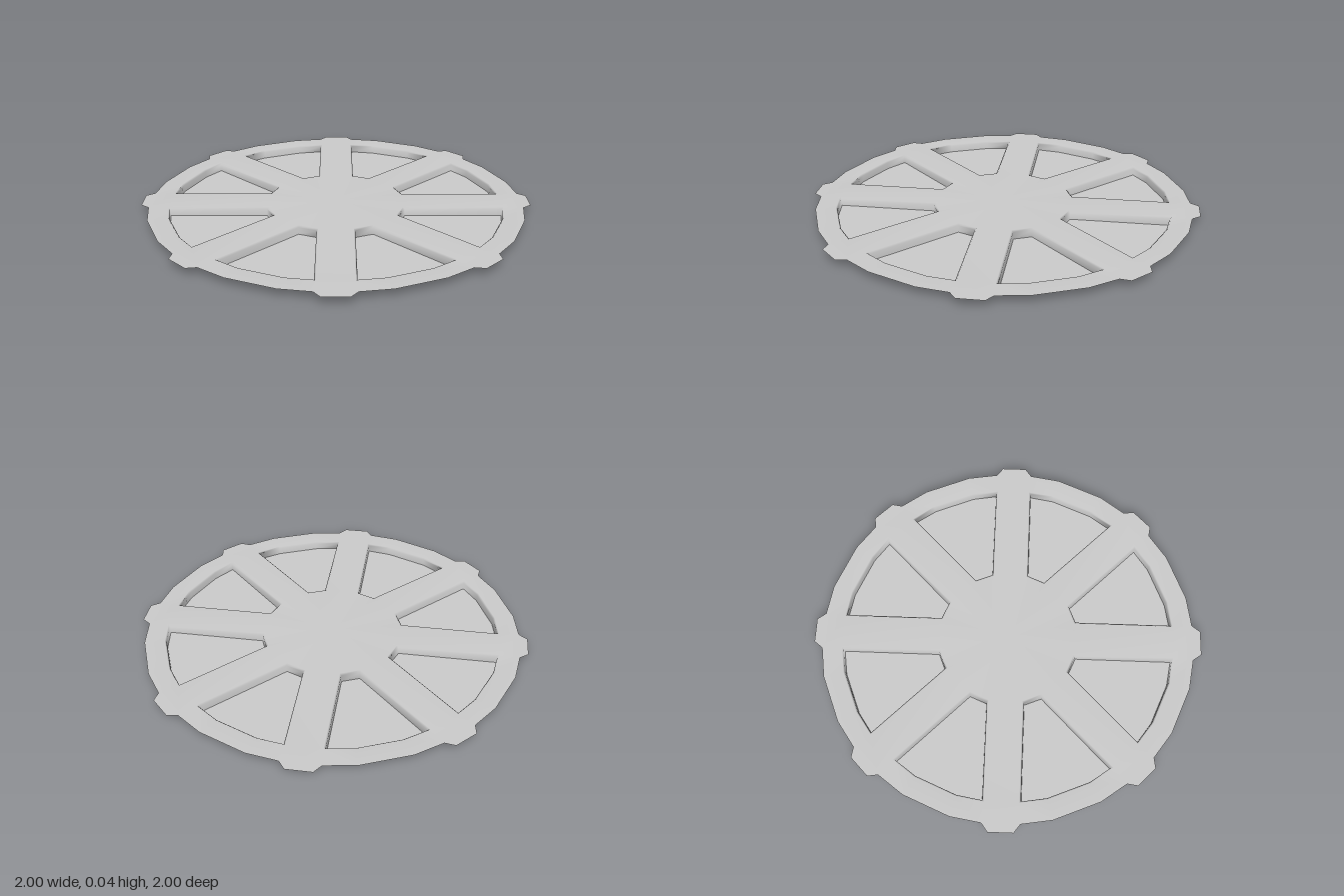
import * as THREE from 'three';
import { mergeVertices } from 'three/addons/utils/BufferGeometryUtils.js';

const COUNT = 8;
const STEP = (Math.PI * 2) / COUNT;
const TOP = 0.043;

// Point given along and across spoke k, at height y
function onSpoke(k, along, side, y) {
  const c = Math.cos(k * STEP), s = Math.sin(k * STEP);
  return [along * c - side * s, y, -(along * s + side * c)];
}

// Point on a circle, as a fraction of the way from spoke k to the next
const onArc = (k, t, r, y) => onSpoke(k + t, r, 0, y);

// Outline of the opening between spokes k and k + 1, shrunk by inset
function opening(k, inset, y) {
  const side = 0.086 + inset, inner = 0.343 + inset, outer = 0.855 - inset;
  return [
    onSpoke(k, inner, side, y),
    onSpoke(k, outer, side, y),
    onArc(k, 1 / 3, 0.863 - inset, y),
    onArc(k, 2 / 3, 0.863 - inset, y),
    onSpoke(k + 1, outer, -side, y),
    onSpoke(k + 1, inner, -side, y),
  ];
}

// Collects convex polygons as triangles
function polygon(out, ...pts) {
  for (let i = 1; i < pts.length - 1; i++) out.push(...pts[0], ...pts[i], ...pts[i + 1]);
}

function toMesh(name, data) {
  let geometry = new THREE.BufferGeometry();
  geometry.setAttribute('position', new THREE.Float32BufferAttribute(data, 3));
  geometry = mergeVertices(geometry, 1e-4);
  geometry.computeVertexNormals();
  const material = new THREE.MeshStandardMaterial({ color: 0xcccccc, side: THREE.DoubleSide });
  const mesh = new THREE.Mesh(geometry, material);
  mesh.name = name;
  return mesh;
}

export function createModel() {
  const group = new THREE.Group();
  group.name = 'spokedWheelCover';
  const frame = [];
  const panels = new THREE.Group();
  panels.name = 'recessedPanels';

  for (let k = 0; k < COUNT; k++) {
    const hole = opening(k, 0, TOP);
    const before = opening(k - 1, 0, TOP);
    const centre = [0, TOP, 0];

    // Hub: one wedge under the spoke, one beside the opening
    polygon(frame, centre, before[5], hole[0]);
    polygon(frame, centre, hole[0], hole[5]);

    // Spoke
    polygon(frame, before[5], before[4], hole[1], hole[0]);

    // Spoke end and outer tab
    const base = [-1, 1].map((s) => onSpoke(k, 0.957, s * 0.095, TOP));
    const tip = [-1, 1].map((s) => onSpoke(k, 1, s * 0.063, TOP));
    polygon(frame, before[4], base[0], base[1], hole[1]);
    polygon(frame, base[0], tip[0], tip[1], base[1]);

    // Rim between two tabs
    const outer = [
      base[1],
      onArc(k, 1 / 3, 0.965, TOP),
      onArc(k, 2 / 3, 0.965, TOP),
      onSpoke(k + 1, 0.957, -0.095, TOP),
    ];
    for (let i = 0; i < 3; i++) polygon(frame, hole[i + 1], outer[i], outer[i + 1], hole[i + 2]);

    // Small bevel and wall down to the panel
    const rings = [hole, opening(k, 0.008, TOP - 0.008), opening(k, 0.01, 0)];
    for (let r = 0; r < 2; r++) {
      for (let i = 0; i < 6; i++) {
        const j = (i + 1) % 6;
        polygon(frame, rings[r][i], rings[r][j], rings[r + 1][j], rings[r + 1][i]);
      }
    }

    // Flat panel at the bottom of the recess
    const panel = [];
    polygon(panel, ...rings[2]);
    panels.add(toMesh('panel', panel));
  }

  group.add(toMesh('wheelFrame', frame), panels);
  return group;
}
